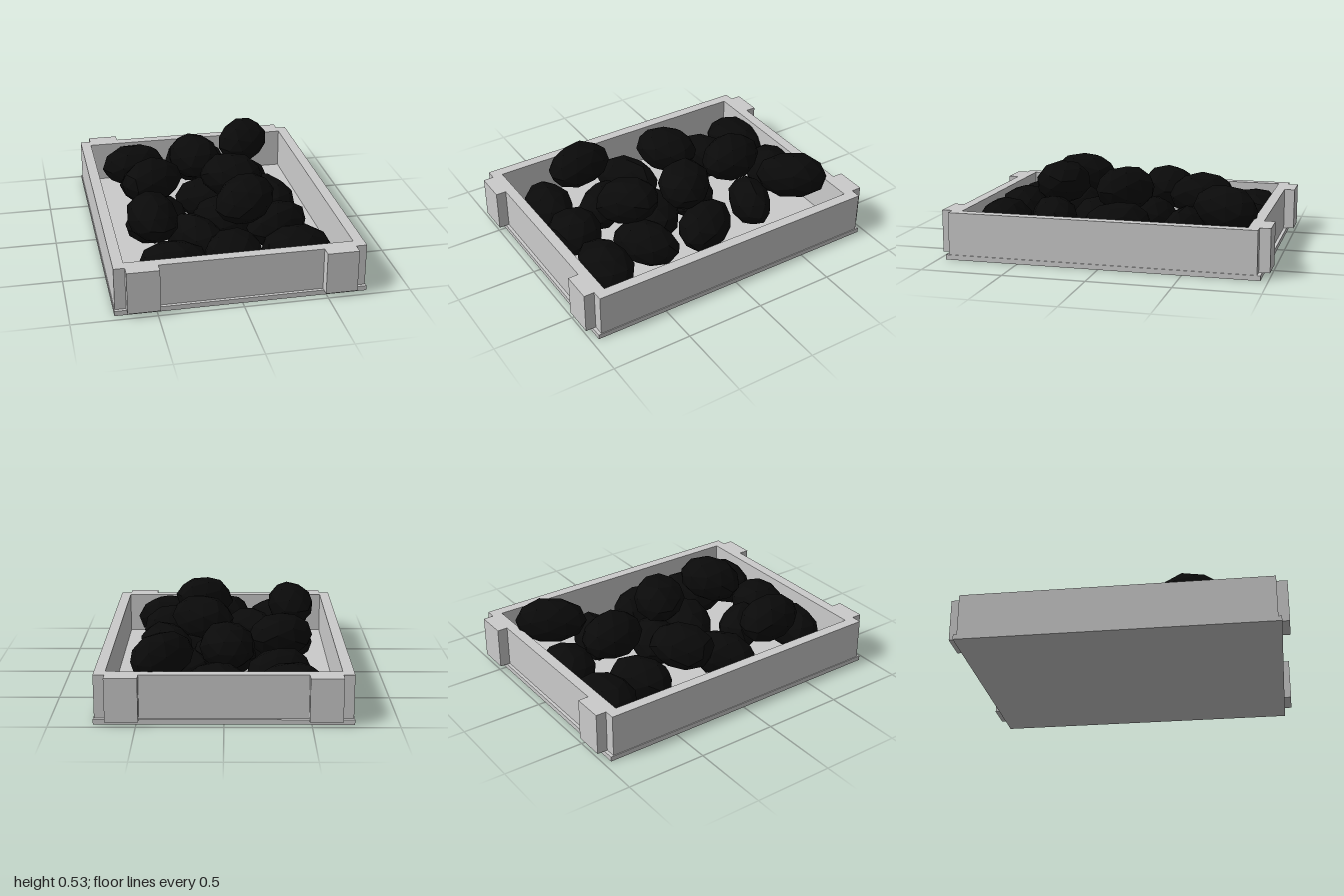
import * as THREE from 'three';
import { mergeVertices } from 'three/addons/utils/BufferGeometryUtils.js';

const grey = new THREE.MeshStandardMaterial({ color: 0xcccccc });
const black = new THREE.MeshStandardMaterial({ color: 0x0a0a0a, flatShading: true });

function box(name, w, h, d, x, y, z) {
  const mesh = new THREE.Mesh(new THREE.BoxGeometry(w, h, d), grey);
  mesh.position.set(x, y, z);
  mesh.name = name;
  return mesh;
}

// Small seeded generator for the stone irregularities
function seeded(seed) {
  let s = seed * 7919 + 17;
  return () => (s = (s * 16807) % 2147483647) / 2147483647;
}

// Lumpy faceted pebble of unit radius
function pebbleGeometry(seed) {
  const rand = seeded(seed);
  let geo = new THREE.IcosahedronGeometry(1.03, 1);
  geo.deleteAttribute('normal');
  geo.deleteAttribute('uv');
  geo = mergeVertices(geo, 1e-3);
  const p = geo.attributes.position;
  const v = new THREE.Vector3();
  for (let i = 0; i < p.count; i++) {
    v.fromBufferAttribute(p, i).multiplyScalar(0.96 + 0.08 * rand());
    p.setXYZ(i, v.x, v.y, v.z);
  }
  geo.computeVertexNormals();
  return geo;
}

// Stones: x, z, top height, half length, half width, yaw in degrees, tilt in degrees
const stones = [
  // lower layer, resting on the floor
  [-0.39, -0.76, 0.30, 0.215, 0.16, 8, 0],
  [0.04, -0.76, 0.30, 0.205, 0.16, -8, 0],
  [-0.33, -0.47, 0.30, 0.205, 0.14, 30, 0],
  [0.27, -0.43, 0.30, 0.195, 0.125, -15, 0],
  [0.00, -0.14, 0.30, 0.20, 0.15, -20, 0],
  [0.37, -0.02, 0.33, 0.21, 0.15, -60, 0],
  [-0.37, 0.11, 0.30, 0.215, 0.14, 30, 0],
  [0.07, 0.17, 0.30, 0.215, 0.15, -20, 0],
  [-0.18, 0.41, 0.31, 0.20, 0.13, -50, 0],
  [0.34, 0.39, 0.34, 0.21, 0.14, 30, 0],
  [-0.36, 0.70, 0.30, 0.20, 0.148, -5, 0],
  [0.00, 0.70, 0.33, 0.175, 0.155, 10, 0],
  [0.385, 0.70, 0.32, 0.215, 0.152, 0, 0],
  // upper layer
  [0.365, -0.69, 0.46, 0.22, 0.15, 55, 0],
  [-0.02, -0.47, 0.46, 0.20, 0.16, 100, 0],
  [-0.35, -0.18, 0.44, 0.20, 0.16, 30, 0],
  [0.14, -0.01, 0.51, 0.20, 0.16, -35, 0],
  [-0.44, 0.43, 0.48, 0.215, 0.145, -80, 0],
  [0.135, 0.40, 0.53, 0.20, 0.16, 40, 12],
];

export function createModel() {
  const model = new THREE.Group();

  // Tray base
  model.add(box('base', 1.49, 0.03, 1.91, 0, 0.015, 0));

  // Rectangular rim of walls
  const rect = (Path, x, z) =>
    new Path([[-x, -z], [x, -z], [x, z], [-x, z]].map(([a, b]) => new THREE.Vector2(a, b)));
  const outline = rect(THREE.Shape, 0.74, 0.935);
  outline.holes.push(rect(THREE.Path, 0.675, 0.87));
  const wallGeo = new THREE.ExtrudeGeometry(outline, { depth: 0.26, bevelEnabled: false });
  wallGeo.rotateX(-Math.PI / 2);
  const walls = new THREE.Mesh(wallGeo, grey);
  walls.position.y = 0.03;
  walls.name = 'walls';
  model.add(walls);

  // End blocks on the front and back walls
  for (const sx of [-1, 1]) {
    for (const sz of [-1, 1]) {
      const name = (sz > 0 ? 'front' : 'back') + (sx > 0 ? 'Left' : 'Right') + 'Block';
      model.add(box(name, 0.19, 0.26, 0.066, sx * 0.58, 0.16, sz * 0.967));
    }
  }

  // Heap of dark stones
  const heap = new THREE.Group();
  heap.name = 'stones';
  const halfHeight = 0.138;
  stones.forEach(([x, z, top, a, b, yaw, tilt], i) => {
    const stone = new THREE.Mesh(pebbleGeometry(i + 1), black);
    stone.scale.set(a, halfHeight, b);
    stone.position.set(x, top - halfHeight, z);
    stone.rotation.set(0, THREE.MathUtils.degToRad(yaw), THREE.MathUtils.degToRad(tilt), 'YXZ');
    stone.name = 'stone' + (i + 1);
    heap.add(stone);
  });
  model.add(heap);

  return model;
}
